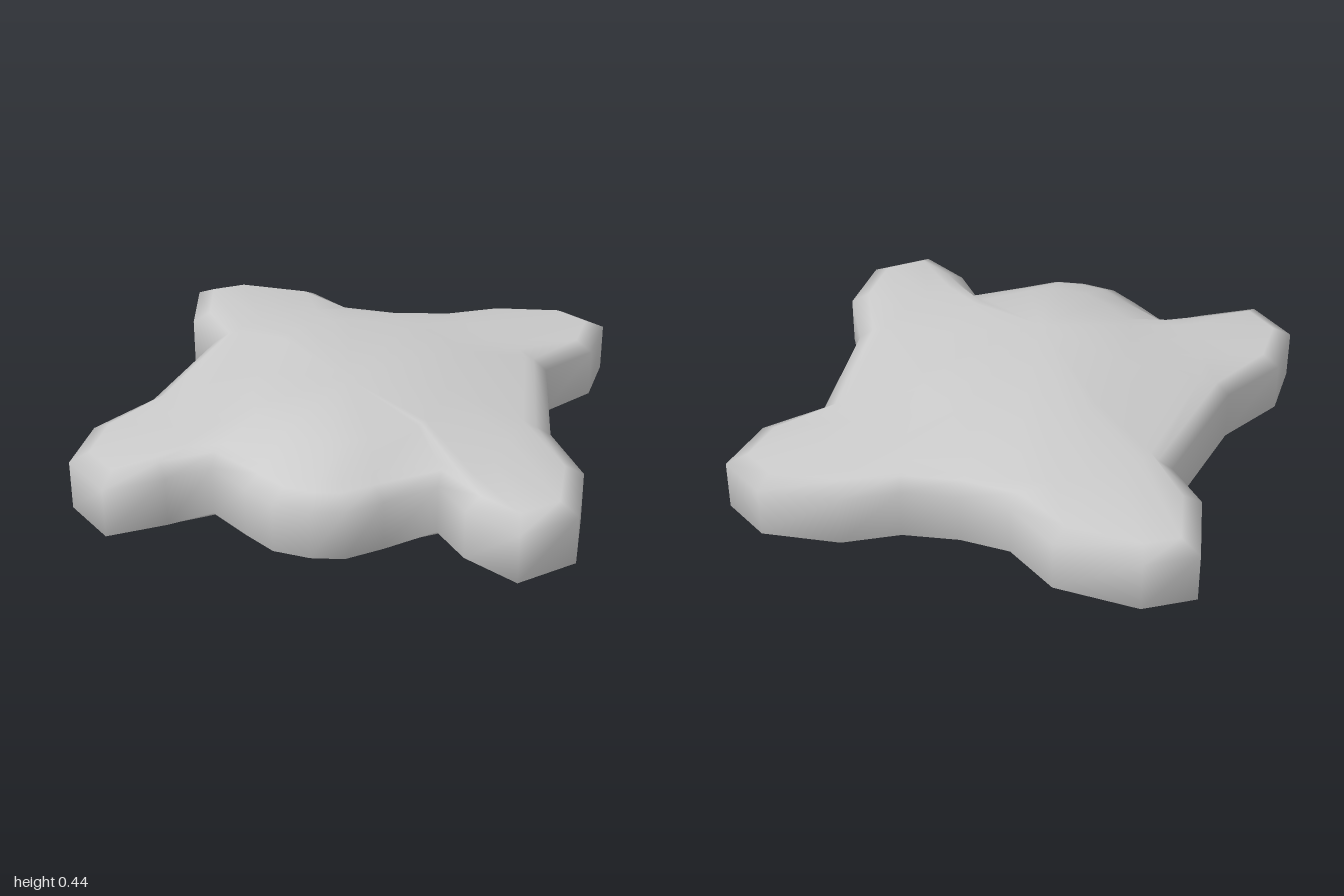
import * as THREE from 'three';

// Plan outline (x, z), clockwise seen from above, starting at the back right paw
const OUTLINE = [
  [-0.97, -0.87], [-0.78, -0.99], [-0.43, -0.97], [-0.21, -0.81], [0, -0.8], [0.23, -0.84],
  [0.44, -0.96], [0.76, -1], [0.96, -0.87], [0.93, -0.59], [0.75, -0.37], [0.83, 0.21],
  [0.99, 0.5], [1, 0.82], [0.8, 1], [0.58, 0.87], [0.45, 0.71], [0.27, 0.87],
  [0.14, 0.97], [0.01, 0.99], [-0.14, 0.97], [-0.27, 0.88], [-0.44, 0.75], [-0.59, 0.87],
  [-0.8, 1], [-1, 0.82], [-1, 0.53], [-0.84, 0.24], [-0.74, -0.36], [-0.9, -0.54],
];
const CENTRE_Z = 0.05;

// Outline moved inwards, mitred at outer corners only so the notches stay tight
function inset(distance) {
  const n = OUTLINE.length;
  const inward = (a, b) => new THREE.Vector2(a[1] - b[1], b[0] - a[0]).normalize();
  return OUTLINE.map((p, i) => {
    const before = inward(OUTLINE[(i + n - 1) % n], p);
    const after = inward(p, OUTLINE[(i + 1) % n]);
    const normal = before.clone().add(after).normalize();
    const reach = before.cross(after) > 0 ? distance / normal.dot(before) : distance * 0.8;
    return [p[0] + normal.x * reach, p[1] + normal.y * reach];
  });
}

// Rounded rectangle with one point towards each rim point, kept inside the rim
function roundedRing(rim, halfWidth, front, back, limit) {
  return rim.map(([x, z]) => {
    const dz = z - CENTRE_Z;
    const size = Math.hypot(x / halfWidth, dz / (dz > 0 ? front : back));
    const power = 2.6;
    const reach = (Math.abs(x / halfWidth) ** power
      + Math.abs(dz / (dz > 0 ? front : back)) ** power) ** (-1 / power);
    const scale = Math.min(size > 0 ? reach : 0, limit);
    return [x * scale, CENTRE_Z + dz * scale];
  });
}

function bodyGeometry() {
  const n = OUTLINE.length;
  const rim = inset(0.075);
  const torso = roundedRing(rim, 0.72, 0.84, 0.76, 0.95);
  const shoulder = roundedRing(rim, 0.4, 0.63, 0.49, 0.75);
  const underHeight = (x) => 0.016 * Math.max(0, 1 - Math.abs(x) / 0.6);

  // Underside, rounded side wall, flat paws, then the domed back
  const rings = [
    [shoulder, () => 0.02],
    [rim, underHeight],
    [OUTLINE, () => 0.045],
    [OUTLINE, () => 0.25],
    [rim, () => 0.29],
    [torso, () => 0.308],
    [shoulder, () => 0.382],
  ];
  const positions = [], index = [];
  for (const [points, height] of rings) {
    for (const [x, z] of points) positions.push(x, height(x), z);
  }
  for (let r = 0; r < rings.length - 1; r++) {
    for (let i = 0; i < n; i++) {
      const a = r * n + i, b = r * n + (i + 1) % n;
      index.push(a, a + n, b, b, a + n, b + n);
    }
  }

  // Close the underside and the crown of the dome
  const bottom = rings.length * n, top = bottom + 1, last = bottom - n;
  positions.push(0, 0.02, CENTRE_Z, 0, 0.44, 0.25);
  for (let i = 0; i < n; i++) {
    const j = (i + 1) % n;
    index.push(bottom, i, j, top, last + j, last + i);
  }

  const geometry = new THREE.BufferGeometry();
  geometry.setAttribute('position', new THREE.Float32BufferAttribute(positions, 3));
  geometry.setIndex(index);
  geometry.computeVertexNormals();
  return geometry;
}

export function createModel() {
  const group = new THREE.Group();
  group.name = 'paddedHide';
  const body = new THREE.Mesh(bodyGeometry(), new THREE.MeshStandardMaterial({ color: 0xcccccc }));
  body.name = 'body';
  group.add(body);
  return group;
}
